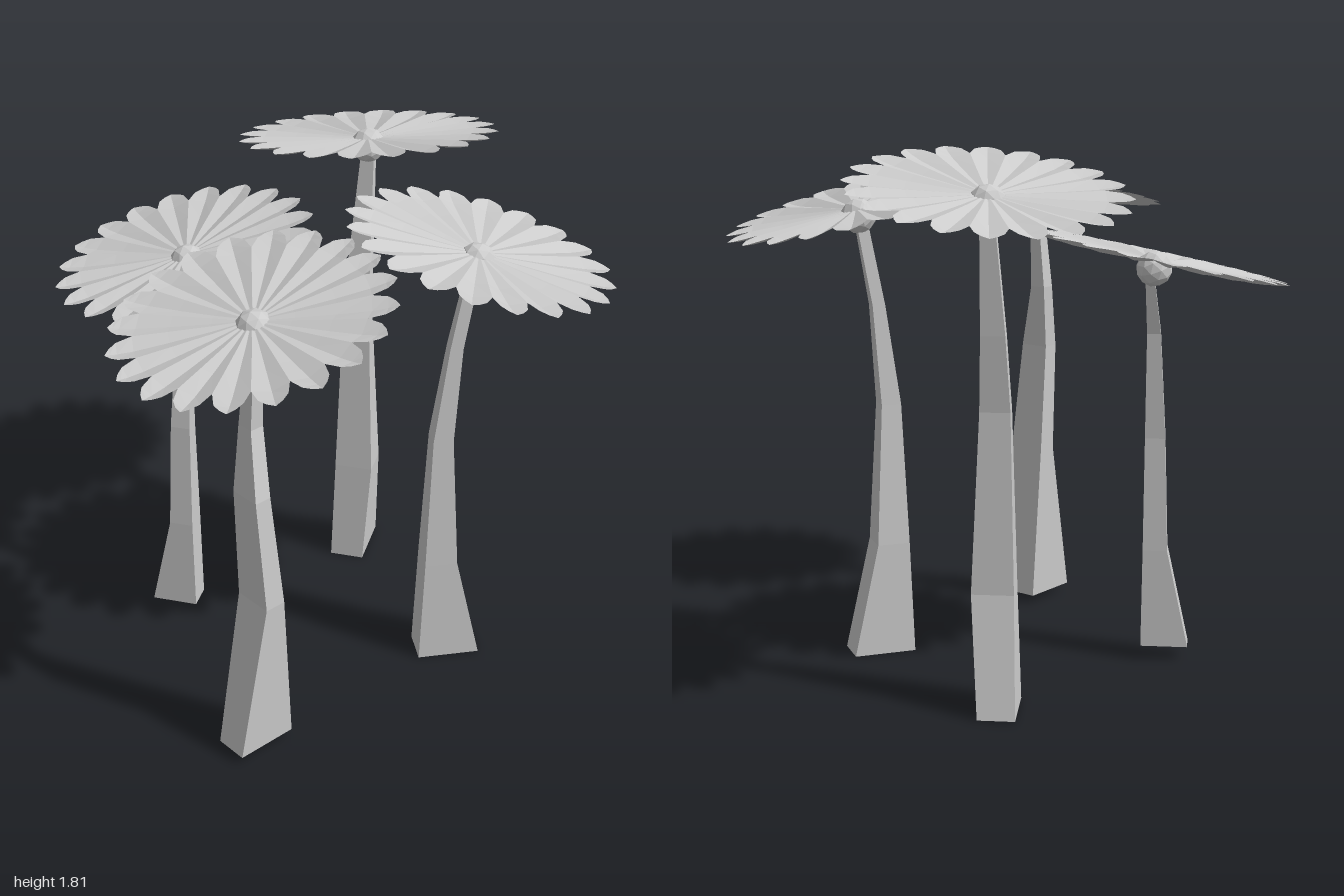
import * as THREE from 'three';

const grey = new THREE.MeshStandardMaterial({ color: 0xcccccc, flatShading: true });
const thin = new THREE.MeshStandardMaterial({ color: 0xcccccc, flatShading: true, side: THREE.DoubleSide });

function build(points, index) {
  const g = new THREE.BufferGeometry();
  g.setAttribute('position', new THREE.Float32BufferAttribute(points, 3));
  g.setIndex(index);
  const flat = g.toNonIndexed();
  flat.computeVertexNormals();
  return flat;
}

// Four-sided bent stem; each level is [y, x, z, length, width], turned about y
function stemGeometry(levels, degrees) {
  const a = THREE.MathUtils.degToRad(degrees), c = Math.cos(a), s = Math.sin(a);
  const pts = [], idx = [];
  for (const [y, x, z, l, w] of levels) {
    for (const [i, j] of [[1, 1], [1, -1], [-1, -1], [-1, 1]]) {
      const u = i * l / 2, v = j * w / 2;
      pts.push(x + u * c + v * s, y, z - u * s + v * c);
    }
  }
  for (let k = 0; k < levels.length - 1; k++) {
    for (let i = 0; i < 4; i++) {
      const p = k * 4 + i, q = k * 4 + (i + 1) % 4;
      idx.push(p, q, q + 4, p, q + 4, p + 4);
    }
  }
  const t = (levels.length - 1) * 4;
  idx.push(0, 2, 1, 0, 3, 2, t, t + 1, t + 2, t, t + 2, t + 3);
  return build(pts, idx);
}

// Ring of folded petals, shallowly cupped; rows are [radius, share of petal width, fold depth]
function petalGeometry(count = 20) {
  const rows = [[0.02, 1, 0], [0.13, 1, 0.006], [0.26, 1, 0.012], [0.37, 1, 0.016], [0.42, 0.68, 0.011], [0.442, 0.36, 0.005], [0.457, 0.02, 0]];
  const pts = [], idx = [];
  for (let n = 0; n < count; n++) {
    const mid = n / count * Math.PI * 2, base = pts.length / 3;
    for (const [r, share, fold] of rows) {
      for (const side of [-1, 0, 1]) {
        const a = mid + side * share * Math.PI / count;
        const y = 0.015 * (r / 0.457) ** 2 + (side ? fold * 0.5 : -fold * 0.5);
        pts.push(r * Math.sin(a), y, r * Math.cos(a));
      }
    }
    for (let k = 0; k < rows.length - 1; k++) {
      for (let i = 0; i < 2; i++) {
        const p = base + k * 3 + i;
        idx.push(p, p + 3, p + 4, p, p + 4, p + 1);
      }
    }
  }
  return build(pts, idx);
}

const flowers = [
  { name: 'backRightFlower', hub: [-0.455, 1.4, -0.28], up: [-0.225, 1, 0], turn: 155, stem: [
    [0.05, -0.548, -0.21, 0.165, 0.095], [0.4, -0.513, -0.197, 0.085, 0.09], [0.8, -0.505, -0.2, 0.07, 0.06],
    [1.17, -0.483, -0.225, 0.047, 0.04], [1.38, -0.445, -0.268, 0.03, 0.03]] },
  { name: 'backLeftFlower', hub: [0.222, 1.67, -0.535], up: [0, 1, -0.227], turn: 65, stem: [
    [0, 0.175, -0.51, 0.22, 0.125], [0.4, 0.18, -0.475, 0.12, 0.14], [1.0, 0.18, -0.49, 0.055, 0.1],
    [1.25, 0.195, -0.512, 0.05, 0.08], [1.66, 0.225, -0.538, 0.035, 0.045]] },
  { name: 'frontLeftFlower', hub: [0.44, 1.56, 0.195], up: [0.26, 1, 0], turn: 0, stem: [
    [0, 0.38, 0.198, 0.22, 0.125], [0.4, 0.343, 0.198, 0.115, 0.115], [0.9, 0.34, 0.2, 0.07, 0.075],
    [1.25, 0.377, 0.2, 0.045, 0.05], [1.55, 0.432, 0.2, 0.04, 0.03]] },
  { name: 'frontRightFlower', hub: [-0.338, 1.57, 0.535], up: [-0.21, 1, 0.1], turn: 32, stem: [
    [0.03, -0.375, 0.61, 0.22, 0.117], [0.6, -0.343, 0.595, 0.075, 0.14], [1.0, -0.365, 0.585, 0.06, 0.11],
    [1.23, -0.357, 0.54, 0.05, 0.06], [1.55, -0.338, 0.545, 0.035, 0.035]] },
];

export function createModel() {
  const model = new THREE.Group();
  model.name = 'flowerGroup';
  const petalsGeo = petalGeometry();
  const hubGeo = new THREE.IcosahedronGeometry(0.061, 1);

  for (const f of flowers) {
    const flower = new THREE.Group();
    flower.name = f.name;

    const stem = new THREE.Mesh(stemGeometry(f.stem, f.turn), grey);
    stem.name = 'stem';
    flower.add(stem);

    // Tilted head with the round centre poking through the petals
    const head = new THREE.Group();
    head.name = 'flowerHead';
    head.position.set(...f.hub);
    head.quaternion.setFromUnitVectors(new THREE.Vector3(0, 1, 0), new THREE.Vector3(...f.up).normalize());
    const petals = new THREE.Mesh(petalsGeo, thin);
    petals.name = 'petals';
    petals.position.y = 0.028;
    const hub = new THREE.Mesh(hubGeo, grey);
    hub.name = 'flowerCentre';
    head.add(petals, hub);
    flower.add(head);
    model.add(flower);
  }
  return model;
}
